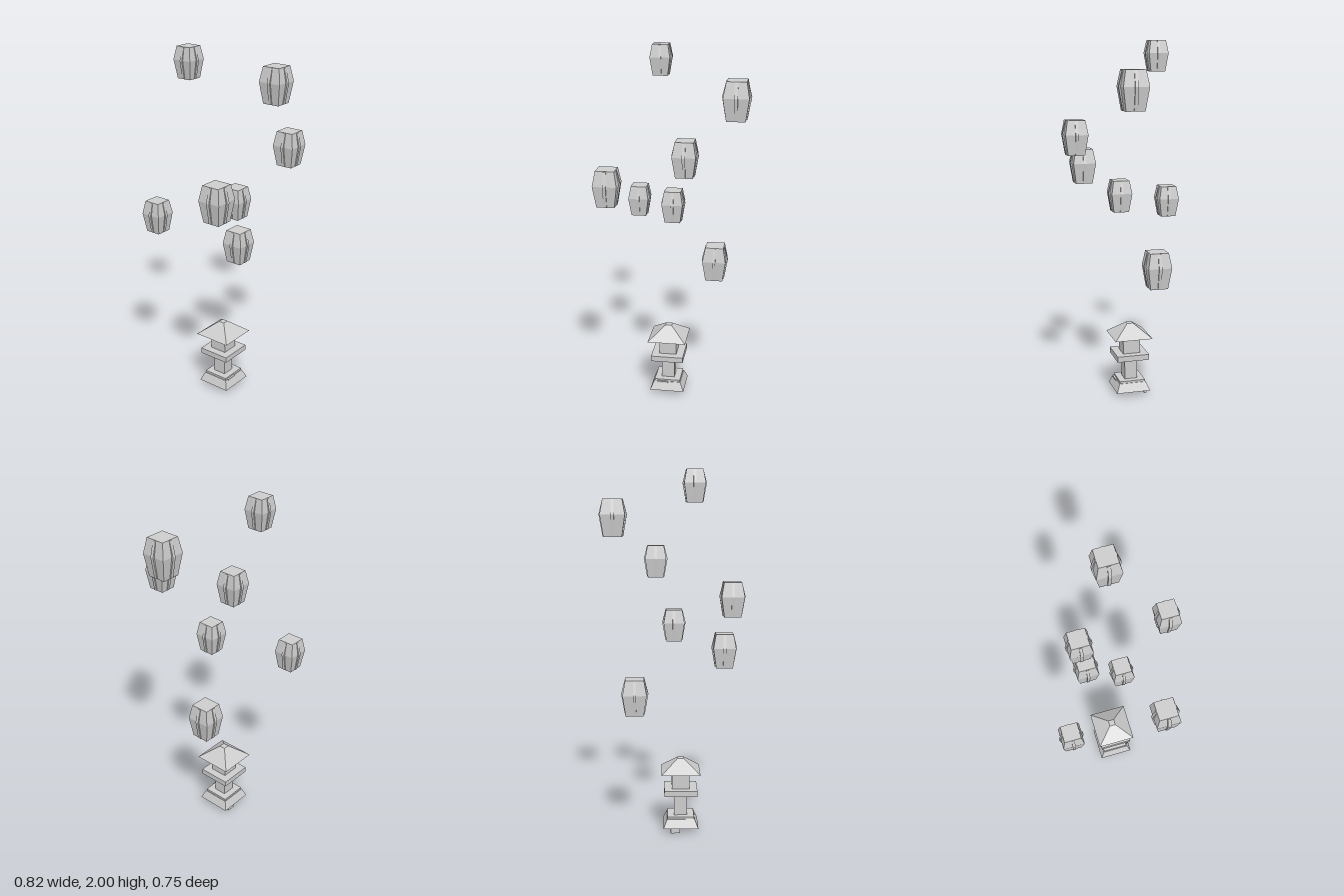
import * as THREE from 'three';

const stone = new THREE.MeshStandardMaterial({ color: 0xcccccc, flatShading: true });
stone.name = 'pale stone';

function add(parent, name, geometry, x = 0, y = 0, z = 0) {
  const mesh = new THREE.Mesh(geometry, stone);
  mesh.name = name;
  mesh.position.set(x, y, z);
  parent.add(mesh);
  return mesh;
}

// Square solid from [halfWidth, y] rings, aligned to the axes, with flat caps
function squareSolid(rings) {
  const points = rings.map(([half, y]) => new THREE.Vector2(half * Math.SQRT2, y));
  points.unshift(new THREE.Vector2(0, rings[0][1]));
  points.push(new THREE.Vector2(0, rings[rings.length - 1][1]));
  return new THREE.LatheGeometry(points, 4, Math.PI / 4).toNonIndexed();
}

// Bent strip that follows the slope of one lantern face
function ribGeometry() {
  const shape = new THREE.Shape();
  [[0.24, 0.015], [0.272, 0.015], [0.372, 0.59], [0.272, 0.985], [0.24, 0.985], [0.32, 0.59]]
    .forEach(([x, y], i) => (i ? shape.lineTo(x, y) : shape.moveTo(x, y)));
  const geometry = new THREE.ExtrudeGeometry(shape, { depth: 0.087, bevelEnabled: false });
  return geometry.translate(0, 0, -0.0435);
}

// Floating lantern, one unit tall before scaling
function lantern(bodyGeometry, rib) {
  const group = new THREE.Group();
  group.name = 'lantern';
  add(group, 'lanternBody', bodyGeometry);
  for (let i = 0; i < 4; i++) {
    add(group, 'lanternRib', rib).rotation.y = i * Math.PI / 2;
  }
  return group;
}

// Stone shrine with a pyramid roof
function shrine() {
  const group = new THREE.Group();
  group.name = 'shrine';
  add(group, 'base', squareSolid([[0.098, 0.029], [0.077, 0.078]]));
  add(group, 'baseStep', squareSolid([[0.074, 0.078], [0.074, 0.09]]));
  add(group, 'column', squareSolid([[0.037, 0.09], [0.037, 0.214]]));
  add(group, 'balcony', squareSolid([[0.0925, 0.214], [0.0925, 0.246]]));
  add(group, 'upperChamber', squareSolid([[0.049, 0.246], [0.049, 0.342]]));
  add(group, 'roof', squareSolid([[0.1085, 0.342], [0.0175, 0.415]]));
  // Loose small blocks around the base
  add(group, 'foot', new THREE.BoxGeometry(0.052, 0.029, 0.014), 0.031, 0.0145, -0.081);
  add(group, 'frontLedge', new THREE.BoxGeometry(0.063, 0.01, 0.05), -0.027, 0.076, 0.06);
  add(group, 'underPlate', new THREE.BoxGeometry(0.03, 0.006, 0.02), 0.0, 0.027, 0.07);
  return group;
}

export function createModel() {
  const model = new THREE.Group();
  model.name = 'floatingLanterns';

  const tower = shrine();
  tower.position.set(-0.036, 0, -0.026);
  model.add(tower);

  const body = squareSolid([[0.243, 0], [0.33, 0.59], [0.256, 1]]);
  const rib = ribGeometry();
  // x, bottom y, z, height of each lantern
  [
    [-0.253, 0.988, -0.312, 0.177],
    [-0.102, 1.832, -0.196, 0.168],
    [0.217, 0.686, -0.111, 0.199],
    [0.334, 1.647, 0.056, 0.207],
    [-0.337, 1.19, 0.174, 0.199],
    [0.1, 1.406, 0.308, 0.184],
    [0, 1.075, 0.04, 0.174],
  ].forEach(([x, y, z, height]) => {
    const item = lantern(body, rib);
    item.position.set(x, y, z);
    item.scale.setScalar(height);
    model.add(item);
  });
  return model;
}
